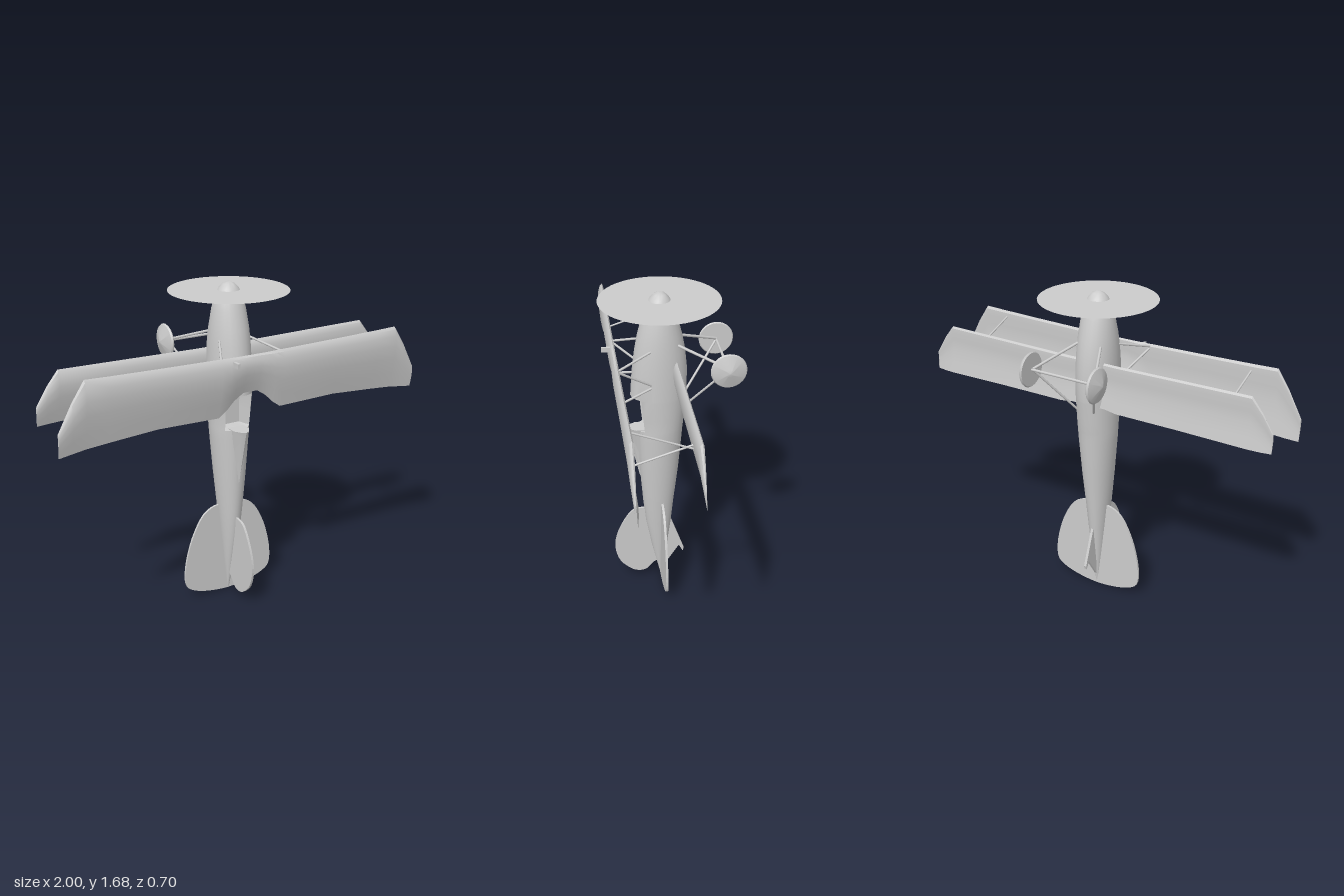
import * as THREE from 'three';
import { toCreasedNormals } from 'three/addons/utils/BufferGeometryUtils.js';

const V = (x, y, z) => new THREE.Vector3(x, y, z);
const grey = new THREE.MeshStandardMaterial({ color: 0xcccccc });
const greyThin = new THREE.MeshStandardMaterial({ color: 0xcccccc, side: THREE.DoubleSide });

function mesh(name, geometry, material = grey) {
  const m = new THREE.Mesh(geometry, material);
  m.name = name;
  return m;
}

// Closed skin through equal-length rings, with fan caps, facing outward
function loft(rings, crease = 0.6) {
  const n = rings[0].length, tris = [];
  for (let i = 0; i < rings.length - 1; i++) {
    for (let j = 0; j < n; j++) {
      const k = (j + 1) % n, a = rings[i], b = rings[i + 1];
      tris.push([a[j], b[j], b[k]], [a[j], b[k], a[k]]);
    }
  }
  const first = rings[0], last = rings[rings.length - 1];
  for (let j = 1; j < n - 1; j++) {
    tris.push([first[0], first[j], first[j + 1]], [last[0], last[j + 1], last[j]]);
  }
  let volume = 0;
  for (const [a, b, c] of tris) volume += a.dot(b.clone().cross(c));
  if (volume < 0) tris.forEach((t) => t.reverse());
  const geo = new THREE.BufferGeometry().setFromPoints(tris.flat());
  return toCreasedNormals(geo, crease);
}

function rod(name, a, b, radius = 0.006) {
  const dir = b.clone().sub(a);
  const m = mesh(name, new THREE.CylinderGeometry(radius, radius, dir.length(), 8));
  m.position.copy(a).add(b).multiplyScalar(0.5);
  m.quaternion.setFromUnitVectors(V(0, 1, 0), dir.normalize());
  return m;
}

// Flat plate drawn in (z, y), centred on x = 0
function sidePlate(points, thickness) {
  const shape = new THREE.Shape(points.map(([z, y]) => new THREE.Vector2(z, y)));
  const geo = new THREE.ExtrudeGeometry(shape, { depth: thickness, bevelEnabled: false });
  return geo.translate(0, 0, -thickness / 2).rotateY(-Math.PI / 2);
}

// Fuselage sections: y, half width, belly z, back z
function fuselage() {
  const sections = [
    [0, 0.004, 0.044, 0.052], [0.2, 0.03, 0.018, 0.098], [0.37, 0.049, -0.005, 0.13],
    [0.5, 0.062, -0.018, 0.143], [0.7, 0.08, -0.042, 0.158], [0.9, 0.096, -0.06, 0.168],
    [0.95, 0.099, -0.064, 0.17], [0.957, 0.099, -0.065, 0.17], [1.03, 0.102, -0.073, 0.18],
    [1.13, 0.105, -0.083, 0.2], [1.14, 0.105, -0.084, 0.2], [1.28, 0.105, -0.085, 0.19],
    [1.38, 0.102, -0.075, 0.177], [1.46, 0.096, -0.06, 0.162], [1.55, 0.084, -0.037, 0.137],
    [1.61, 0.07, -0.018, 0.118], [1.65, 0.05, 0.002, 0.098], [1.67, 0.03, 0.02, 0.078],
    [1.68, 0.008, 0.041, 0.057],
  ];
  const n = 24;
  return loft(sections.map(([y, w, lo, hi]) => Array.from({ length: n }, (_, j) => {
    const a = (j / n) * Math.PI * 2;
    const p = V(w * Math.sin(a), y, (lo + hi) / 2 + ((hi - lo) / 2) * Math.cos(a));
    // Sunken cockpit opening
    if (y > 0.955 && y < 1.135 && p.z > 0.05) {
      if (Math.abs(p.x) < 0.06) p.z = 0.07;
      else p.z = Math.min(p.z, 0.15);
    }
    return p;
  })));
}

// Cambered wing section: fraction of chord, upper offset, lower offset
const FOIL = [
  [0, 0, 0], [0.04, 0.011, -0.008], [0.14, 0.02, -0.009], [0.3, 0.022, -0.005],
  [0.5, 0.014, -0.005], [0.75, -0.002, -0.013], [1, -0.02, -0.023],
];
// Half-span stations: x, leading y, trailing y, thickness scale
function wing(stations, z) {
  const mirrored = stations.filter((s) => s[0] > 0).map(([x, ...r]) => [-x, ...r]).reverse();
  const rings = [...mirrored, ...stations].map(([x, lead, trail, t]) => {
    const at = (f, h) => V(x, lead + (trail - lead) * f, z + h * t);
    return [...FOIL.map(([f, up]) => at(f, up)),
      ...FOIL.slice(1).reverse().map(([f, , low]) => at(f, low))];
  });
  return loft(rings, 0.5);
}

export function createModel() {
  const model = new THREE.Group();
  model.name = 'biplane';

  model.add(mesh('fuselage', fuselage()));

  // Fairing behind the cockpit
  const fairing = [[0.955, 0.045, 0.225], [0.93, 0.042, 0.218], [0.66, 0.012, 0.158]];
  model.add(mesh('headrest', loft(fairing.map(([y, w, top]) => [
    V(-w, y, 0.12), V(-w, y, top - 0.05), V(-w * 0.5, y, top - 0.012), V(0, y, top),
    V(w * 0.5, y, top - 0.012), V(w, y, top - 0.05), V(w, y, 0.12),
  ]))));

  // Propeller drawn as a spinning disc
  const disc = mesh('propellerDisc', new THREE.CircleGeometry(0.298, 64).rotateX(-Math.PI / 2), greyThin);
  disc.position.set(0, 1.64, 0.05);
  model.add(disc);

  // Wings
  model.add(mesh('upperWing', wing([
    [0, 1.37, 1.18, 0.9], [0.04, 1.37, 1.178, 0.9], [0.09, 1.37, 1.145, 1], [0.13, 1.371, 1.105, 1],
    [0.175, 1.372, 1.073, 1], [0.5, 1.378, 1.08, 1], [0.75, 1.384, 1.064, 1],
    [0.865, 1.388, 1.055, 1], [0.93, 1.29, 1.048, 0.75], [1, 1.16, 1.042, 0.3],
  ], 0.272)));
  model.add(mesh('lowerWing', wing([
    [0, 1.345, 1.11, 0.9], [0.1, 1.345, 1.11, 0.9], [0.16, 1.345, 1.1, 0.9], [0.5, 1.35, 1.1, 0.9],
    [0.87, 1.355, 1.096, 0.9], [0.93, 1.28, 1.095, 0.65], [0.985, 1.19, 1.095, 0.25],
  ], -0.024)));
  const filler = mesh('tankFiller', new THREE.BoxGeometry(0.014, 0.024, 0.05));
  filler.position.set(-0.11, 1.342, 0.305);
  model.add(filler);

  // Tailplane outline, mirrored
  const half = [[0.04, 0.51], [0.1, 0.5], [0.16, 0.455], [0.22, 0.34], [0.257, 0.2],
    [0.258, 0.09], [0.215, 0.045], [0.12, 0.015]];
  const outline = [...half, [0, 0.003], ...half.map(([x, y]) => [-x, y]).reverse()]
    .map(([x, y]) => new THREE.Vector2(x, y));
  const tailShape = new THREE.Shape(new THREE.SplineCurve(outline).getPoints(64));
  const tail = mesh('tailplane', new THREE.ExtrudeGeometry(tailShape, { depth: 0.012, bevelEnabled: false }));
  tail.position.z = 0.042;
  model.add(tail);

  // Fin with rudder, and the skid below the tail
  const finCurve = new THREE.SplineCurve([
    [0.13, 0.455], [0.205, 0.437], [0.272, 0.33], [0.3, 0.22], [0.277, 0.12],
    [0.22, 0.058], [0.175, 0.038], [0.13, 0.045], [0.094, 0.085], [0.06, 0.105],
  ].map(([z, y]) => new THREE.Vector2(z, y))).getPoints(40).map((p) => [p.x, p.y]);
  model.add(mesh('fin', sidePlate([...finCurve, [0.05, 0.3], [0.1, 0.45]], 0.012)));
  model.add(mesh('tailSkid', sidePlate([
    [0.03, 0.38], [-0.005, 0.37], [-0.076, 0.17], [-0.07, 0.15], [-0.048, 0.19], [0.03, 0.07],
  ], 0.014)));

  // Struts, undercarriage legs and wheels on both sides
  const wheelProfile = [[0, 0], [0.084, 0], [0.089, 0.006], [0.084, 0.014], [0.02, 0.036], [0, 0.042]]
    .map(([r, h]) => new THREE.Vector2(r, h));
  for (const s of [1, -1]) {
    const side = s > 0 ? 'left' : 'right';
    const add = (name, a, b, r) => model.add(rod(side + name, V(s * a[0], a[1], a[2]), V(s * b[0], b[1], b[2]), r));
    add('InterplaneStrutFront', [0.73, 1.35, 0.268], [0.73, 1.245, -0.015], 0.005);
    add('InterplaneStrutRear', [0.73, 1.18, 0.262], [0.73, 1.27, -0.015], 0.005);
    add('CabaneStrutFront', [0.17, 1.36, 0.268], [0.08, 1.41, 0.095]);
    add('CabaneStrutMiddle', [0.17, 1.35, 0.268], [0.085, 1.22, 0.085]);
    add('CabaneStrutRear', [0.17, 1.18, 0.262], [0.085, 1.22, 0.085]);
    add('GearLegFront', [0.175, 1.34, -0.26], [0.06, 1.43, -0.02], 0.007);
    add('GearLegRear', [0.175, 1.335, -0.26], [0.05, 1.09, -0.07]);
    const wheel = mesh(side + 'Wheel',
      toCreasedNormals(new THREE.LatheGeometry(wheelProfile, 28), 0.5).rotateZ(-s * Math.PI / 2));
    wheel.position.set(s * 0.182, 1.335, -0.261);
    model.add(wheel);
  }
  model.add(rod('axle', V(-0.185, 1.335, -0.261), V(0.185, 1.335, -0.261), 0.007));

  return model;
}
